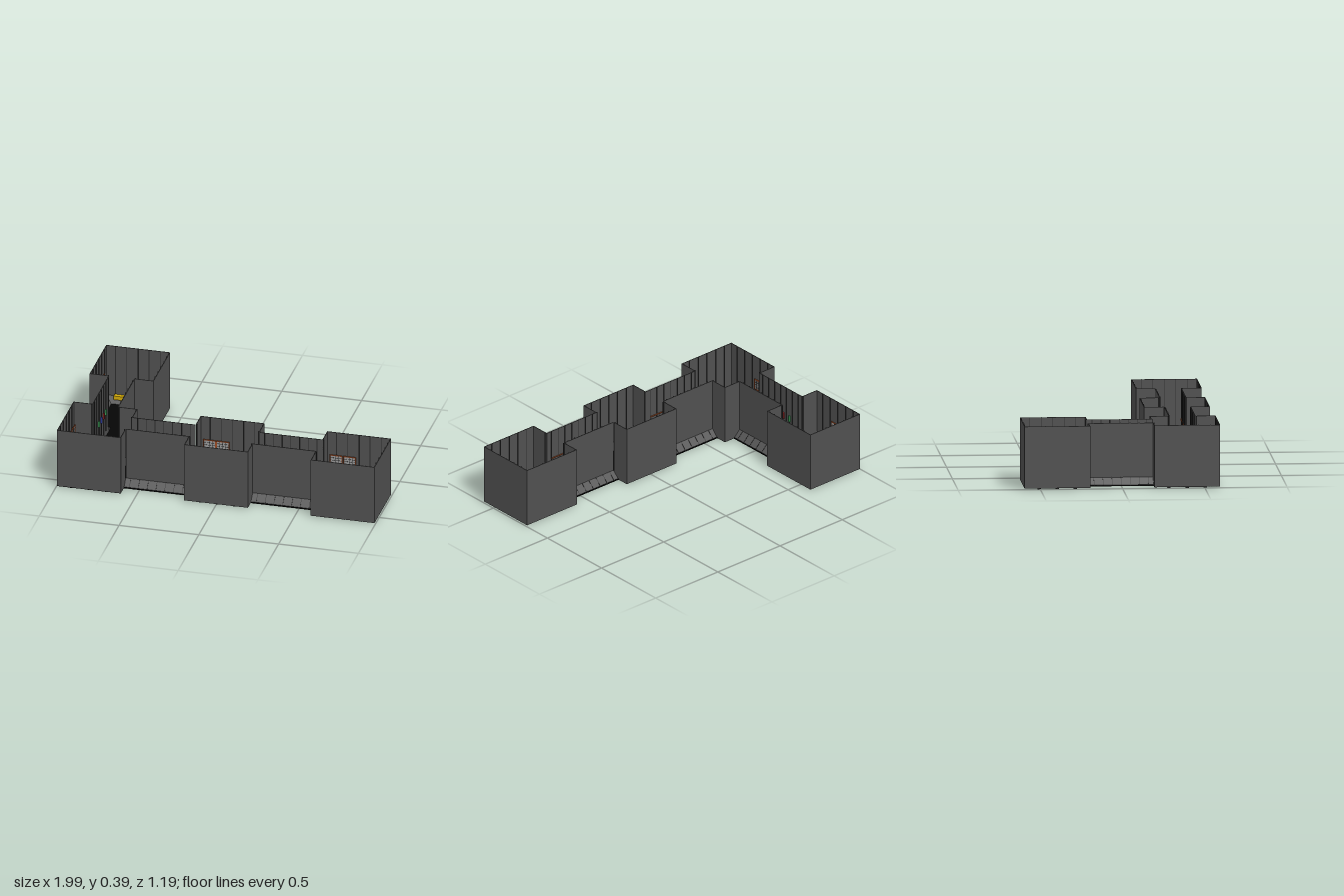
import * as THREE from 'three';

const R = 0.2;       // room half width
const C = 0.127;     // corridor half width at floor level
const S = 0.045;     // skirting rise and run
const W = C - S;     // corridor half width between its walls
const Y0 = 0.008, Y1 = 0.385, T = 0.004;
const PITCH = 0.795;

const mat = (color) => new THREE.MeshStandardMaterial({ color, flatShading: true, side: THREE.DoubleSide });
const M = {
  wall: mat(0x505050), skirt: mat(0x555555), rib: mat(0x2c2c2c), floor: mat(0x060606),
  yellow: mat(0xd0a808), violet: mat(0x5a55b0), orange: mat(0x9a4a24), pale: mat(0x9a9a9a),
  green: mat(0x3a9a55), red: mat(0xb03030), blue: mat(0x3344bb),
};

function box(parent, name, material, w, h, d, x, y, z) {
  const m = new THREE.Mesh(new THREE.BoxGeometry(w, h, d), material);
  m.name = name;
  m.position.set(x, y, z);
  parent.add(m);
  return m;
}

// sloping skirting: upper edge a..b at zTop, lower edge a2..b2 at zFloor
function skirting(parent, a, b, a2, b2, zTop, zFloor) {
  const g = new THREE.BufferGeometry();
  const y = Y0 + S;
  g.setAttribute('position', new THREE.Float32BufferAttribute(
    [a, y, zTop, b, y, zTop, b2, Y0, zFloor, a2, Y0, zFloor], 3));
  g.setIndex([0, 2, 1, 0, 3, 2]);
  g.computeVertexNormals();
  const m = new THREE.Mesh(g, M.skirt);
  m.name = 'skirting';
  parent.add(m);
}

// upright wall running along x, its outer face at z
function wall(parent, a, b, z) {
  box(parent, 'wall', M.wall, b - a, Y1 - Y0, T, (a + b) / 2, (Y1 + Y0) / 2, z - T / 2);
}

function rib(parent, x, z) {
  box(parent, 'wallRib', M.rib, 0.004, Y1 - Y0 - S, 0.004, x, (Y1 + Y0 + S) / 2 + 0.001, z - T - 0.002);
}

// framed grille mounted on the inside of a wall
function grille(parent, x, y, z) {
  const g = new THREE.Group();
  g.name = 'wallGrille';
  box(g, 'grillePlate', M.pale, 0.07, 0.06, 0.003, 0, 0, 0);
  for (const s of [-1, 1]) {
    box(g, 'grilleFrame', M.orange, 0.08, 0.005, 0.006, 0, s * 0.032, 0);
    box(g, 'grilleFrame', M.orange, 0.005, 0.064, 0.006, s * 0.038, 0, 0);
  }
  for (let i = -1; i <= 1; i++) {
    box(g, 'grilleBar', M.rib, 0.002, 0.06, 0.005, i * 0.018, 0, 0);
    box(g, 'grilleBar', M.rib, 0.07, 0.002, 0.005, 0, i * 0.016, 0);
  }
  g.position.set(x, y, z);
  parent.add(g);
}

// one side of a room: doorway, bench (yellow panels) or lamp (violet lamps);
// a number adds a pair of grilles centred there
function roomSide(kind) {
  const side = new THREE.Group();
  side.name = 'roomSide';
  if (kind === 'door') {
    for (const s of [-1, 1]) {
      wall(side, s < 0 ? -R : W, s < 0 ? -W : R, R);
      skirting(side, s * W, s * R, s * W, s * (R - S), R, R - S);
      box(side, 'doorLamp', M.violet, 0.02, 0.03, 0.022, s * 0.105, 0.06, R - 0.024);
      box(side, 'doorPost', M.rib, 0.006, Y1 - Y0, 0.008, s * (W + 0.003), (Y1 + Y0) / 2, R - 0.005);
    }
    return side;
  }
  wall(side, -R, R, R);
  skirting(side, -R, R, -R + S, R - S, R, R - S);
  for (let i = -2; i <= 2; i++) rib(side, i * 0.07, R);
  for (const x of [-0.11, 0, 0.11]) {
    if (kind === 'bench') box(side, 'yellowPanel', M.yellow, 0.07, 0.025, 0.028, x, 0.05, R - 0.022);
    else box(side, 'wallLamp', M.violet, 0.02, 0.03, 0.016, x, 0.1, R - 0.022);
    box(side, 'foot', M.rib, 0.02, Y0, 0.02, x, Y0 / 2, R - 0.02);
  }
  if (typeof kind === 'number') {
    for (const s of [-1, 1]) grille(side, kind + s * 0.042, 0.2, R - 0.012);
  }
  return side;
}

// sides are listed front, left (+x), back, right (-x)
function room(name, x, z, kinds, base) {
  const g = new THREE.Group();
  g.name = name;
  kinds.forEach((k, i) => {
    const s = roomSide(k);
    s.rotation.y = i * Math.PI / 2;
    g.add(s);
  });
  box(g, 'baseRim', base, 2 * R, 0.003, 2 * R, 0, Y0, 0);
  box(g, 'floor', M.floor, 2 * (R - S) + 0.004, 0.008, 2 * (R - S) + 0.004, 0, 0.008, 0);
  g.position.set(x, 0, z);
  return g;
}

// corridor along x, open at both ends, skirting flaring outward to the floor edge
function corridor(name, x, z, length, lights) {
  const g = new THREE.Group();
  g.name = name;
  const h = length / 2;
  for (let i = 0; i < 2; i++) {
    const side = new THREE.Group();
    side.name = 'corridorSide';
    side.rotation.y = i * Math.PI;
    wall(side, -h, h, W);
    skirting(side, -h, h, -h, h, W, C);
    for (let k = -3; k <= 3; k++) {
      const px = k * 0.055;
      rib(side, px, W);
      const strut = box(side, 'skirtingRib', M.rib, 0.003, 0.003, S * 1.41, px, Y0 + S / 2, W + S / 2);
      strut.rotation.x = Math.PI / 4;
    }
    if (lights) {
      [M.green, M.red, M.blue, M.green].forEach((m, k) =>
        box(side, 'signalLight', m, 0.01, 0.04, 0.01, -0.09 + k * 0.055, 0.19, W - 0.012));
    } else {
      for (const px of [-0.1, 0.1]) box(side, 'wallStrip', M.orange, 0.13, 0.006, 0.005, px, 0.2, W - 0.008);
    }
    g.add(side);
  }
  box(g, 'floor', M.floor, length + 2 * S, 0.007, 2 * W, 0, 0.0085, 0);
  box(g, 'floorEdge', M.floor, length, 0.007, 2 * C, 0, 0.0085, 0);
  g.position.set(x, 0, z);
  return g;
}

// green line pattern on a corridor floor
function floorMarking(x, z) {
  const g = new THREE.Group();
  g.name = 'floorMarking';
  const line = (w, d, px, pz) => box(g, 'markingLine', M.green, w, 0.002, d, px, 0.0125, pz);
  for (const s of [-1, 1]) {
    line(0.006, 0.156, s * 0.152, 0.01);
    line(0.085, 0.005, s * 0.11, 0);
    for (const e of [-1, 1]) {
      line(0.005, 0.07, s * 0.046 + e * 0.02, 0);
      line(0.045, 0.005, s * 0.046, e * 0.035);
    }
  }
  for (const px of [0, 0.09]) {
    const ring = new THREE.Mesh(new THREE.TorusGeometry(0.009, 0.002, 4, 12), M.green);
    ring.name = 'markingRing';
    ring.rotation.x = Math.PI / 2;
    ring.position.set(px, 0.0125, 0);
    g.add(ring);
  }
  g.position.set(x, 0, z);
  return g;
}

export function createModel() {
  const model = new THREE.Group();
  model.name = 'openToppedRooms';
  const zRow = 0.393, zBack = -0.397, len = PITCH - 2 * R;

  model.add(
    room('backRoom', -PITCH, zBack, ['door', 'bench', 'bench', -0.03], M.wall),
    room('cornerRoom', -PITCH, zRow, ['bench', 'door', 'door', -0.11], M.floor),
    room('middleRoom', 0, zRow - 0.007, ['lamp', 'door', 0.1, 'door'], M.wall),
    room('endRoom', PITCH, zRow, ['bench', 'bench', 0.1, 'door'], M.wall),
    corridor('rightCorridor', -PITCH / 2, zRow - 0.003, len, false),
    corridor('leftCorridor', PITCH / 2, zRow - 0.003, len, false),
    floorMarking(PITCH / 2, zRow - 0.013),
  );

  const back = corridor('backCorridor', -PITCH, (zRow + zBack) / 2, zRow - zBack - 2 * R, true);
  back.rotation.y = Math.PI / 2;
  model.add(back);
  return model;
}
